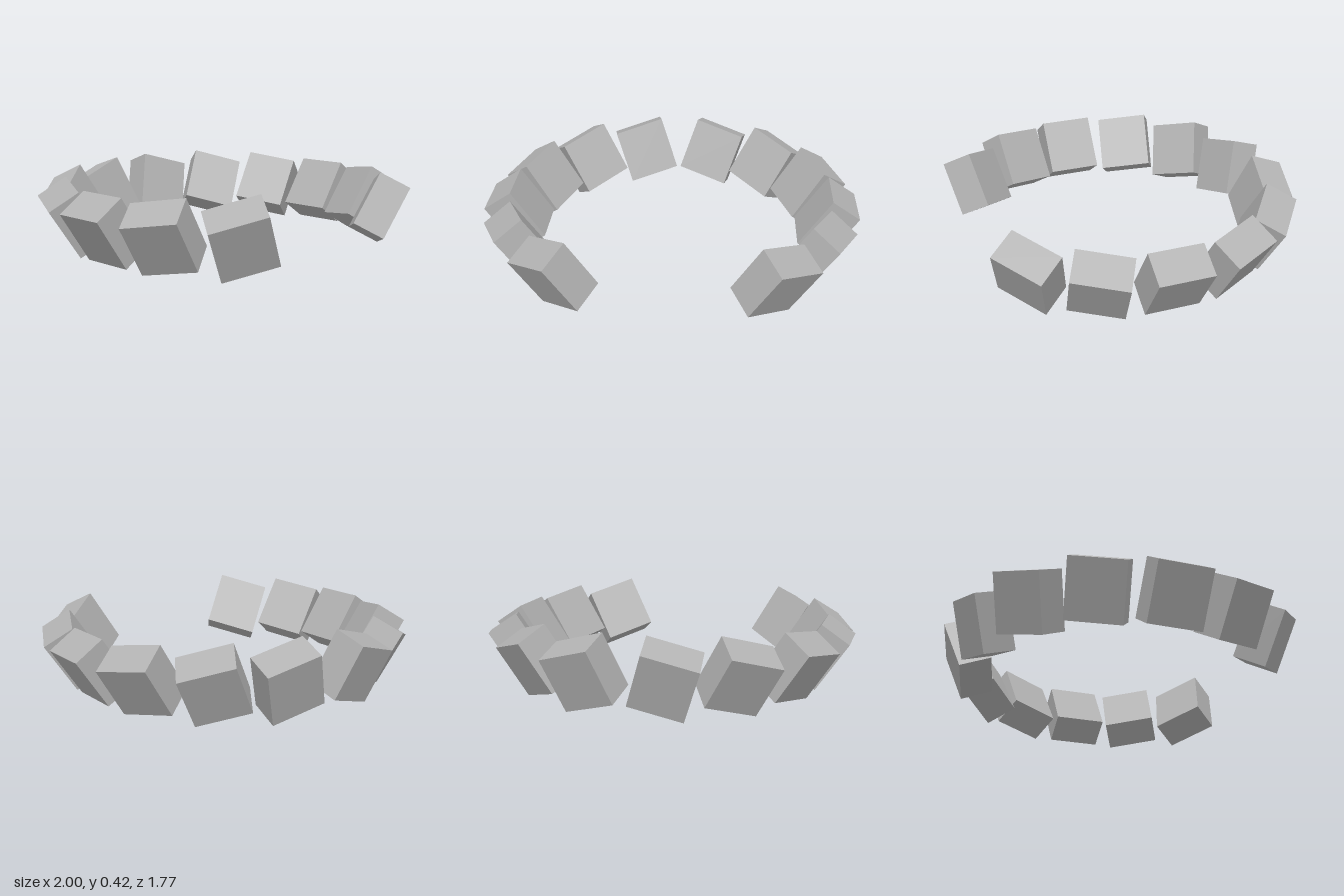
import * as THREE from 'three';

// Left-right mirrored blocks, listed from the front pair round to the back pair.
// c: centre, u: direction of the block's width, v: direction of its height
const BLOCKS = [
  { c: [0.547, 0.211, 0.69], u: [0.203, -0.075, -0.18], v: [-0.139, -0.262, -0.064] },
  { c: [0.767, 0.208, 0.403], u: [0.112, -0.04, -0.252], v: [-0.161, -0.253, -0.036] },
  { c: [0.84, 0.205, 0.057], u: [0, 0, 1], v: [-0.172, -0.255, 0] },
  { c: [0.76, 0.208, -0.302], u: [0.112, -0.04, 0.252], v: [-0.161, -0.253, 0.036] },
  { c: [0.531, 0.211, -0.583], u: [0.214, -0.076, 0.177], v: [-0.139, -0.265, 0.07] },
  { c: [0.207, 0.213, -0.738], u: [0.268, -0.078, 0.064], v: [-0.104, -0.27, 0.08] },
];

export function createModel() {
  const group = new THREE.Group();
  group.name = 'blockRing';
  const grey = new THREE.MeshStandardMaterial({ color: 0xb2b2b2 });
  grey.name = 'grey';
  const geometry = new THREE.BoxGeometry(0.288, 0.306, 0.177);

  // Open ring of tilted blocks, leaning outwards at the top
  for (const side of [1, -1]) {
    const vec = ([x, y, z]) => new THREE.Vector3(side * x, y, z);
    BLOCKS.forEach(({ c, u, v }, i) => {
      const across = vec(u).normalize();
      const depth = across.clone().cross(vec(v)).normalize();
      const up = depth.clone().cross(across);
      const block = new THREE.Mesh(geometry, grey);
      block.name = `${side > 0 ? 'left' : 'right'}Block${i + 1}`;
      block.quaternion.setFromRotationMatrix(new THREE.Matrix4().makeBasis(across, up, depth));
      block.position.copy(vec(c));
      group.add(block);
    });
  }
  return group;
}
